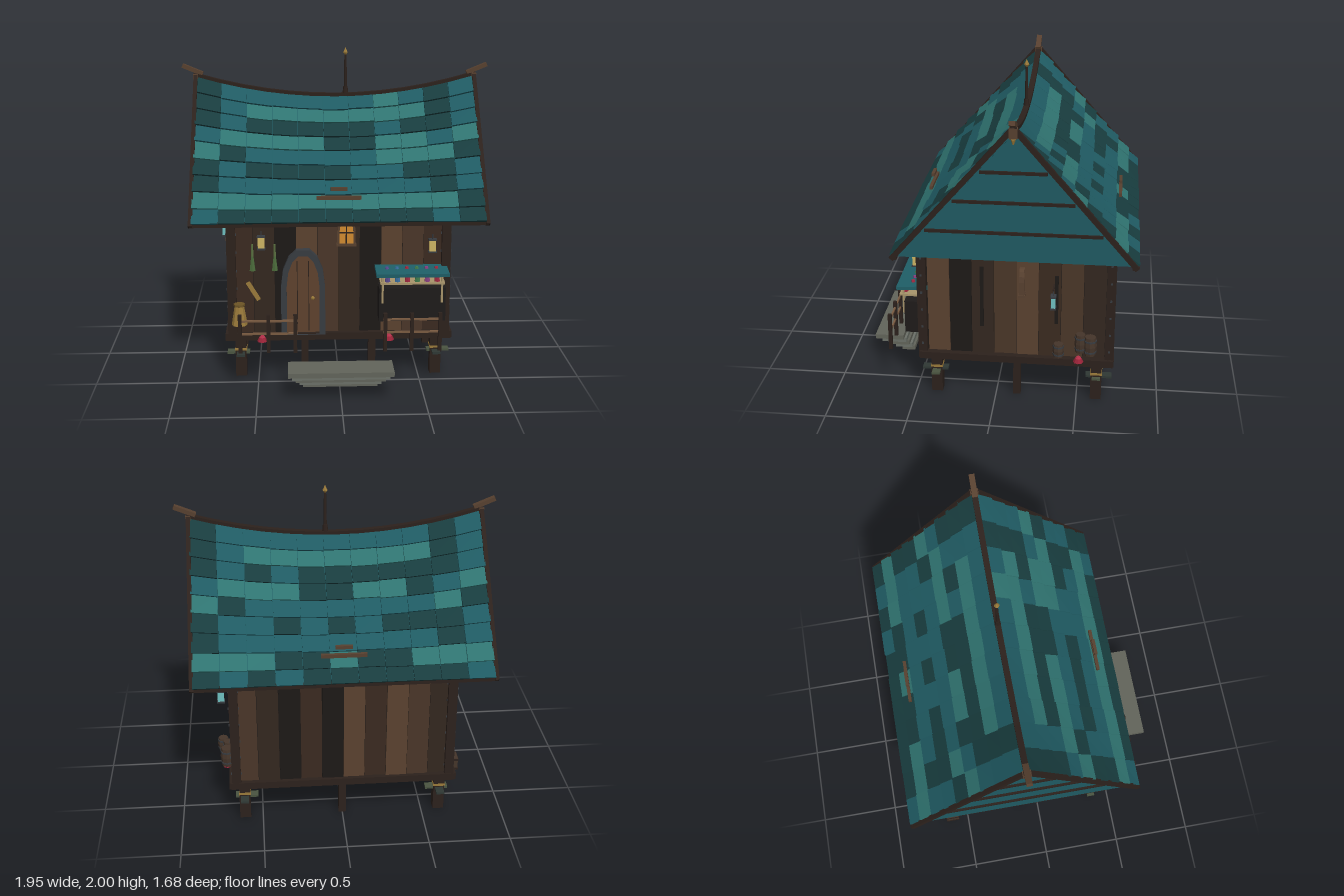
import * as THREE from 'three';

const ZC = -0.13; // ridge line
const mats = {};
const mat = (c) => (mats[c] ??= new THREE.MeshStandardMaterial({ color: c, flatShading: true, side: THREE.DoubleSide }));
const DARK = 0x2c211c, BROWN = 0x57402f, LIGHT = 0x7a5a40, IRON = 0x373b40, GOLD = 0x9a7a3a;
const WOOD = [0x3a2a20, 0x33271f, 0x1d1917, 0x5a412f, 0x4a3628, 0x2a201b];
const TEAL = [0x183c3e, 0x1f5a62, 0x2f7370];

function add(parent, name, geo, color, x = 0, y = 0, z = 0) {
  const m = new THREE.Mesh(geo, mat(color));
  m.name = name;
  m.position.set(x, y, z);
  parent.add(m);
  return m;
}
const box = (p, name, c, w, h, d, x, y, z) => add(p, name, new THREE.BoxGeometry(w, h, d), c, x, y, z);
// box given by its lower and upper limits
const span = (p, name, c, x0, x1, y0, y1, z0, z1) =>
  box(p, name, c, x1 - x0, y1 - y0, z1 - z0, (x0 + x1) / 2, (y0 + y1) / 2, (z0 + z1) / 2);
const cyl = (p, name, c, r1, r2, h, x, y, z, n = 8) => add(p, name, new THREE.CylinderGeometry(r1, r2, h, n), c, x, y, z);
// straight beam between two points
function beam(p, name, c, a, b, w, d) {
  const A = new THREE.Vector3(...a), B = new THREE.Vector3(...b), dir = B.clone().sub(A);
  const m = box(p, name, c, w, dir.length(), d, 0, 0, 0);
  m.position.copy(A.add(B).multiplyScalar(0.5));
  m.quaternion.setFromUnitVectors(new THREE.Vector3(0, 1, 0), dir.normalize());
  return m;
}
let seed = 7;
const rnd = () => (seed = (seed * 16807) % 2147483647) / 2147483647;

// roof surface height: t runs from eave (0) to ridge (1), ends sweep upwards
const roofY = (x, t) => 1.03 + t * (0.66 + 0.13 * (x / 0.88) ** 2);
function slab(x0, x1, t0, t1, lift0, lift1, thick, seg) {
  const g = new THREE.BoxGeometry(1, 1, 1, seg, 1, 1), p = g.attributes.position;
  for (let i = 0; i < p.count; i++) {
    const x = x0 + (x1 - x0) * (p.getX(i) + 0.5), v = p.getY(i) + 0.5;
    const t = t0 + (t1 - t0) * v, n = lift0 + (lift1 - lift0) * v + (p.getZ(i) - 0.5) * thick;
    p.setXYZ(i, x, roofY(x, t) + n * 0.7, 0.7 * (1 - t) + n * 0.7);
  }
  g.computeVertexNormals();
  return g;
}

function roof(root) {
  const rows = [0, 2, 1, 0, 1, 2, 0, 2, 1], R = rows.length, C = 11, W = 0.88;
  for (const back of [false, true]) {
    const s = new THREE.Group();
    s.name = back ? 'backRoofSlope' : 'frontRoofSlope';
    s.position.z = ZC;
    s.rotation.y = back ? Math.PI : 0;
    root.add(s);
    add(s, 'roofDeck', slab(-W, W, 0, 1, 0, 0, 0.015, 22), TEAL[1]);
    for (let r = 0; r < R; r++) for (let c = 0; c < C; c++) {
      const edge = c < 2 || c > 8, j = rnd() * 0.008, w = 2 * W / C;
      const col = TEAL[(rows[r] + (edge && r > 1 ? c + r : rnd() > 0.85 ? 1 : 0)) % 3];
      add(s, 'roofTile', slab(-W + c * w, -W + (c + 1) * w - 0.003, Math.max(0, (r - 0.1 - rnd() * 0.08) / R), (r + 1) / R,
        0.02 + j, 0.006, 0.014, 1), col);
    }
    span(s, 'eaveBoard', DARK, -0.89, 0.89, 1.015, 1.045, 0.675, 0.705);
    box(s, 'roofPlank', BROWN, 0.27, 0.022, 0.02, 0, 1.165, 0.597);
    box(s, 'roofPeg', BROWN, 0.1, 0.02, 0.02, 0, 1.22, 0.597);
    for (const x of [-0.885, 0.885])
      beam(s, 'bargeBoard', DARK, [x, 1.02, 0.705], [x, 1.835, 0], 0.025, 0.03);
  }
  // ridge beam and its raised tips
  for (let i = 0; i < 12; i++) {
    const a = -0.88 + i * 0.1467, b = a + 0.1467;
    beam(root, 'ridgeBeam', DARK, [a, roofY(a, 1) + 0.008, ZC], [b, roofY(b, 1) + 0.008, ZC], 0.02, 0.035);
  }
  for (const s of [-1, 1]) {
    beam(root, 'ridgeTip', BROWN, [s * 0.84, 1.835, ZC], [s * 0.968, 1.888, ZC], 0.025, 0.035);
    box(root, 'apexBlock', BROWN, 0.03, 0.06, 0.05, s * 0.885, 1.805, ZC);
    cyl(root, 'apexDrop', GOLD, 0.014, 0.004, 0.03, s * 0.89, 1.755, ZC, 6);
    // gable panel with cross slats
    const tri = new THREE.Shape([[-0.69, 1.03], [0.69, 1.03], [0, 1.81]].map((q) => new THREE.Vector2(...q)));
    const g = add(root, 'gablePanel', new THREE.ShapeGeometry(tri), 0x1f5a62, s * 0.872, 0, ZC);
    g.rotation.y = s * Math.PI / 2;
    for (const y of [1.205, 1.39, 1.57])
      box(root, 'gableSlat', DARK, 0.016, 0.018, 2 * (0.68 * (1.81 - y) / 0.78 - 0.02), s * 0.876, y, ZC);
  }
  // spire
  cyl(root, 'spireFoot', DARK, 0.014, 0.02, 0.06, 0.065, 1.72, ZC);
  cyl(root, 'spirePole', DARK, 0.007, 0.011, 0.27, 0.065, 1.83, ZC);
  cyl(root, 'spireTip', GOLD, 0.016, 0.007, 0.015, 0.065, 1.96, ZC, 6);
  cyl(root, 'spireTip', GOLD, 0, 0.016, 0.035, 0.065, 1.983, ZC, 6);
}

function archShape(w, h, rise) {
  const s = new THREE.Shape();
  s.moveTo(-w, 0).lineTo(w, 0).lineTo(w, h - rise);
  for (const [u, v] of [[0.9, 0.45], [0.65, 0.78], [0.3, 0.97], [-0.3, 0.97], [-0.65, 0.78], [-0.9, 0.45], [-1, 0]])
    s.lineTo(w * u, h - rise + rise * v);
  return s;
}
const extrude = (s, d) => new THREE.ExtrudeGeometry(s, { depth: d, bevelEnabled: false });

// arched window with glowing panes, facing z
function archWindow(root, x, y, z) {
  const g = new THREE.Group();
  g.name = 'archedWindow';
  g.position.set(x, y, z);
  root.add(g);
  const ring = archShape(0.056, 0.17, 0.08);
  ring.holes.push(archShape(0.042, 0.152, 0.07));
  add(g, 'windowFrame', extrude(ring, 0.03), BROWN, 0, 0, -0.015);
  add(g, 'windowGlass', extrude(archShape(0.046, 0.155, 0.07), 0.012), 0xd08a30, 0, 0.002, -0.006);
  box(g, 'windowBar', DARK, 0.008, 0.155, 0.022, 0, 0.08, 0);
  box(g, 'windowBar', DARK, 0.09, 0.008, 0.022, 0, 0.075, 0);
  box(g, 'windowSill', BROWN, 0.12, 0.014, 0.04, 0, 0, 0);
}
function lantern(root, x, y, z, glow) {
  box(root, 'lanternGlass', glow, 0.04, 0.07, 0.025, x, y, z);
  for (const s of [-1, 1]) box(root, 'lanternCap', IRON, 0.05, 0.01, 0.034, x, y + s * 0.038, z);
  box(root, 'lanternHook', IRON, 0.006, 0.035, 0.006, x, y + 0.055, z);
}

function walls(root) {
  span(root, 'wallCore', 0x1d1917, -0.645, 0.645, 0.29, 1.03, -0.69, 0.43);
  const fc = [0, 1, 2, 3, 4, 1, 2, 3, 4, 0], sc = [3, 2, 1, 4, 3, 0, 4, 1];
  for (let i = 0; i < 10; i++) {
    const x = -0.65 + i * 0.13, d = (i % 3) * 0.004;
    span(root, 'frontPlank', WOOD[fc[i]], x, x + 0.127, 0.29, 1.02, 0.42, 0.437 + d);
    span(root, 'backPlank', WOOD[fc[(i * 3 + 1) % 10]], x, x + 0.127, 0.29, 1.02, -0.697 - d, -0.68);
    span(root, 'floorPlank', WOOD[i % 2 ? 4 : 0], -0.68 + i * 0.136, -0.68 + i * 0.136 + 0.133, 0.265, 0.29, -0.7, 0.44);
  }
  for (const s of [-1, 1]) {
    for (let i = 0; i < 8; i++)
      box(root, 'sidePlank', WOOD[sc[i]], 0.02 + (i % 3) * 0.006, 0.73, 0.132, s * 0.65, 0.655, 0.345 - i * 0.135);
    for (const z of [0.445, -0.695]) {
      box(root, 'cornerPost', DARK, 0.055, 0.77, 0.055, s * 0.655, 0.645, z);
      for (let k = 0; k < 6; k++) box(root, 'postBolt', IRON, 0.066, 0.012, 0.012, s * 0.655, 0.36 + k * 0.115, z);
    }
    span(root, 'sideSill', DARK, s * 0.675 - 0.025, s * 0.675 + 0.025, 0.26, 0.305, -0.72, 0.465);
    span(root, 'sideTopPlate', DARK, s * 0.67 - 0.025, s * 0.67 + 0.025, 0.995, 1.03, -0.75, 0.49);
    box(root, 'sideBatten', WOOD[2], 0.03, 0.4, 0.022, s * 0.657, 0.69, 0.08);
    box(root, 'sideBatten', WOOD[2], 0.03, 0.32, 0.022, s * 0.657, 0.69, -0.37);
    archWindow(root, s * 0.667, 0.73, -0.165);
    lantern(root, s * 0.738, s > 0 ? 0.712 : 0.742, -0.355, 0x6fc0c0);
    beam(root, 'lanternArm', DARK, [s * 0.65, 0.79, -0.355], [s * 0.74, 0.79, -0.355], 0.01, 0.01);
  }
  for (const z of [0.45, -0.705]) {
    box(root, 'crossSill', DARK, 1.38, 0.045, 0.04, 0, 0.283, z);
    box(root, 'crossTopPlate', DARK, 1.48, 0.035, 0.05, 0, 1.012, z);
  }
  // door in its stone arch
  const ring = archShape(0.135, 0.55, 0.24);
  ring.holes.push(archShape(0.1, 0.51, 0.2));
  add(root, 'doorFrame', extrude(ring, 0.06), IRON, -0.22, 0.3, 0.425);
  add(root, 'door', extrude(archShape(0.105, 0.515, 0.2), 0.03), 0x5e422d, -0.22, 0.3, 0.42);
  for (const x of [-0.255, -0.185]) box(root, 'doorSeam', DARK, 0.005, 0.45, 0.004, x, 0.54, 0.451);
  add(root, 'doorKnob', new THREE.SphereGeometry(0.012, 8, 6), GOLD, -0.16, 0.53, 0.46);
  archWindow(root, 0.045, 0.87, 0.455);
}

function base(root) {
  for (const x of [-0.61, 0.61]) for (const z of [0.37, -0.62]) {
    box(root, 'cornerStilt', DARK, 0.068, 0.27, 0.068, x, 0.135, z);
    box(root, 'stiltBand', GOLD, 0.074, 0.015, 0.074, x, 0.178, z);
    box(root, 'mossBoard', 0x4a5440, 0.14, 0.014, 0.05, x + 0.03 * Math.sign(x) * (z > 0 ? 1 : -1) * 0.5, 0.152, z);
    box(root, 'crossBoard', 0x2f3834, 0.05, 0.014, 0.16, x, 0.155, z + (z > 0 ? 0.01 : -0.015));
  }
  for (const [x, z] of [[-0.21, 0.37], [0.21, 0.37], [0, -0.62], [-0.61, ZC], [0.61, ZC]])
    box(root, 'middleStilt', DARK, 0.045, 0.27, 0.045, x, 0.135, z);
  // stone steps
  for (let i = 0; i < 5; i++)
    span(root, 'stoneStep', i % 2 ? 0x6b7068 : 0x62645a, -0.315 + i * 0.0225, 0.315 - i * 0.0225,
      0.16 - i * 0.031, 0.19 - i * 0.031, 0.645 - i * 0.014, 0.83 - i * 0.039);
  // porch fences
  for (const s of [-1, 1]) {
    for (const x of [0.27, 0.43, 0.6]) box(root, 'fencePost', DARK, 0.022, 0.24, 0.022, s * x, 0.38, 0.665);
    for (const y of [0.38, 0.46]) box(root, 'fenceRail', LIGHT, 0.35, 0.012, 0.01, s * 0.432, y, 0.665);
  }
}

function props(root) {
  // market stall
  span(root, 'stallBox', 0x1e1b1a, 0.24, 0.645, 0.41, 0.62, 0.44, 0.56);
  span(root, 'stallShelf', 0xa8946a, 0.245, 0.635, 0.652, 0.664, 0.45, 0.59);
  const top = box(root, 'stallAwning', 0x1f5f68, 0.44, 0.022, 0.19, 0.44, 0.718, 0.508);
  top.rotation.x = 0.06;
  for (const x of [0.26, 0.62]) box(root, 'stallPost', 0xa8946a, 0.012, 0.18, 0.012, x, 0.62, 0.567);
  [0x5a4a90, 0x3a6ea0, 0xa02840, 0x3f7a4a, 0x8a3f80, 0xa02840].forEach((c, i) => {
    cyl(root, 'stallJar', c, 0.014, 0.018, 0.036, 0.29 + i * 0.06, 0.682, 0.56, 6);
    cyl(root, 'stallTrinket', c, 0.01, 0.013, 0.012, 0.29 + i * 0.06, 0.735, 0.51, 6);
  });
  // lanterns and hanging herbs
  lantern(root, -0.47, 0.9, 0.5, 0xcdb463);
  lantern(root, 0.565, 0.87, 0.5, 0xcdb463);
  for (const [x, y] of [[-0.525, 0.72], [-0.39, 0.72]]) {
    cyl(root, 'herbBundle', 0x4a6a3a, 0.008, 0.02, 0.09, x, y + 0.045, 0.485, 6);
    cyl(root, 'herbStem', 0x5a7040, 0.006, 0.008, 0.08, x, y + 0.125, 0.485, 5);
  }
  // basket, leaning plank, red bowls
  cyl(root, 'basket', GOLD, 0.028, 0.048, 0.12, -0.605, 0.47, 0.58, 8);
  cyl(root, 'basketRim', 0x6e5526, 0.034, 0.034, 0.014, -0.605, 0.535, 0.58, 8);
  beam(root, 'leaningPlank', GOLD, [-0.555, 0.645, 0.49], [-0.49, 0.535, 0.49], 0.024, 0.02);
  for (const [x, z] of [[-0.47, 0.58], [0.3, 0.58], [0.71, -0.51]]) {
    cyl(root, 'redBowl', 0x9a2338, 0.02, 0.032, 0.025, x, 0.313, z, 8);
    cyl(root, 'bowlLid', 0xb23048, 0.012, 0.02, 0.01, x, 0.33, z, 8);
  }
  // barrels and crate by the side walls
  for (const [x, y, z, r, h] of [[0.735, 0.39, -0.39, 0.035, 0.085], [0.7, 0.425, -0.52, 0.035, 0.12], [0.71, 0.415, -0.58, 0.04, 0.12]]) {
    add(root, 'barrel', new THREE.LatheGeometry([[0, -0.5], [0.85, -0.5], [1, 0], [0.85, 0.5], [0, 0.5]]
      .map(([u, v]) => new THREE.Vector2(u * r, v * h)), 8), 0x45352a, x, y, z);
    for (const k of [-0.3, 0.3]) cyl(root, 'barrelHoop', IRON, r, r, 0.01, x, y + k * h, z);
  }
  box(root, 'crate', 0x45352a, 0.07, 0.085, 0.08, -0.69, 0.318, -0.6);
  for (const y of [0.285, 0.35]) box(root, 'crateBand', DARK, 0.076, 0.014, 0.086, -0.69, y, -0.6);
}

export function createModel() {
  const root = new THREE.Group();
  root.name = 'stiltCottage';
  roof(root);
  walls(root);
  base(root);
  props(root);
  return root;
}
